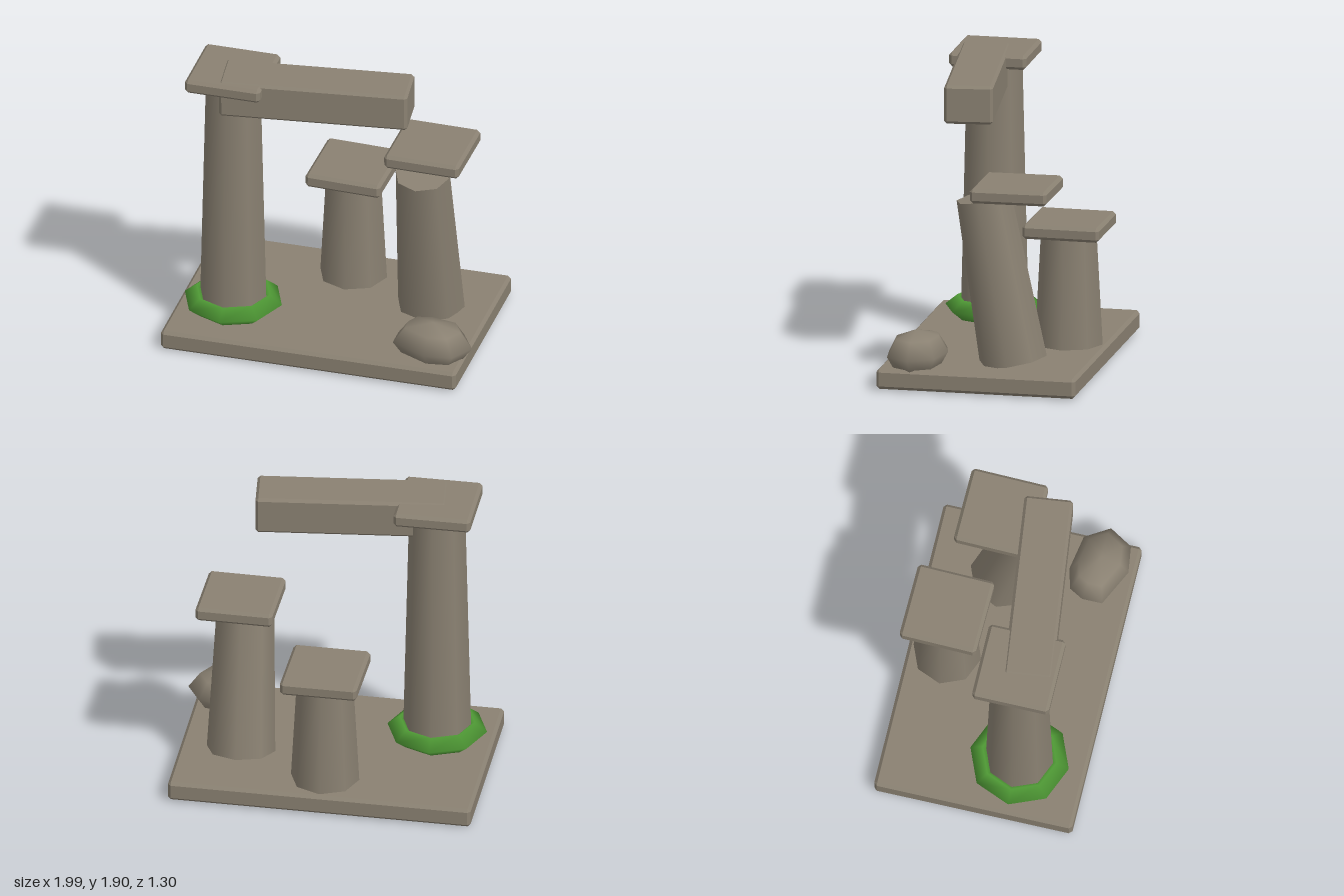
import * as THREE from 'three';
import { ConvexGeometry } from 'three/addons/geometries/ConvexGeometry.js';
import { mergeVertices } from 'three/addons/utils/BufferGeometryUtils.js';

const stone = new THREE.MeshStandardMaterial({ color: 0x8a8172 });
const green = new THREE.MeshStandardMaterial({ color: 0x4f9a35 });

// Block with every edge and corner chamfered by c
function chamferBox(w, h, d, c) {
  const points = [];
  for (const sx of [-1, 1]) for (const sy of [-1, 1]) for (const sz of [-1, 1]) {
    const x = w / 2, y = h / 2, z = d / 2;
    points.push(
      new THREE.Vector3(sx * x, sy * (y - c), sz * (z - c)),
      new THREE.Vector3(sx * (x - c), sy * y, sz * (z - c)),
      new THREE.Vector3(sx * (x - c), sy * (y - c), sz * z));
  }
  return new ConvexGeometry(points);
}

// Boulder: a coarse ball whose rings follow an uneven outline
function boulder(outline, halfHeight) {
  const geo = new THREE.SphereGeometry(1, outline.length, 4);
  const pos = geo.attributes.position;
  const columns = outline.length + 1;
  for (let i = 0; i < pos.count; i++) {
    const y = pos.getY(i);
    const r = Math.sin(Math.floor(i / columns) * Math.PI / 4);
    const [x, z] = outline[(i % columns) % outline.length];
    pos.setXYZ(i, x * r, y * halfHeight, z * r);
  }
  geo.deleteAttribute('uv');
  geo.deleteAttribute('normal');
  const merged = mergeVertices(geo, 1e-4);
  merged.computeVertexNormals();
  return merged;
}

export function createModel() {
  const group = new THREE.Group();

  function add(name, geometry, position, rotation = [0, 0, 0], material = stone) {
    const mesh = new THREE.Mesh(geometry, material);
    mesh.name = name;
    mesh.position.set(...position);
    mesh.rotation.set(...rotation);
    group.add(mesh);
    return mesh;
  }

  // Ground slab
  add('base', chamferBox(1.945, 0.13, 1.29, 0.02), [-0.027, 0.074, 0], [0, 0, 0.004]);

  // Tapered eight-sided columns, one of them leaning, each with a square cap
  const columns = [
    { name: 'tall', at: [-0.64, 0.97, 0.22], height: 1.68, lean: 0,
      cap: [-0.645, 1.85, 0.217], turn: [0, 0, 0] },
    { name: 'short', at: [-0.025, 0.5, -0.395], height: 0.74, lean: 0,
      cap: [-0.025, 0.907, -0.397], turn: [0, -0.02, -0.01] },
    { name: 'leaning', at: [0.555, 0.68, -0.067], height: 1.07, lean: 0.18,
      cap: [0.555, 1.267, -0.182], turn: [0.01, -0.015, 0] },
  ];
  for (const { name, at, height, lean, cap, turn } of columns) {
    add(name + 'Column', new THREE.CylinderGeometry(0.18, 0.22, height, 8), at, [lean, 0, 0]);
    add(name + 'Cap', chamferBox(0.495, 0.094, 0.5, 0.02), cap, turn);
  }

  // Broken lintel resting on the tall column
  add('lintel', chamferBox(1.21, 0.25, 0.31, 0.018), [-0.0925, 1.782, 0.213], [0, 0.12, 0.005]);

  // Ring of moss around the foot of the tall column
  const moss = add('moss', new THREE.TorusGeometry(0.24, 0.08, 4, 8),
    [-0.64, 0.2, 0.22], [Math.PI / 2, 0, 0], green);
  moss.scale.z = 0.82;

  // Fallen boulder at the front corner
  const outline = [
    [-0.25, 0.065], [-0.01, 0.18], [0.165, 0.155], [0.255, 0.005],
    [0.16, -0.15], [-0.07, -0.19], [-0.2, -0.155], [-0.25, -0.065],
  ];
  add('boulder', boulder(outline, 0.15), [0.74, 0.215, 0.425]);

  return group;
}
